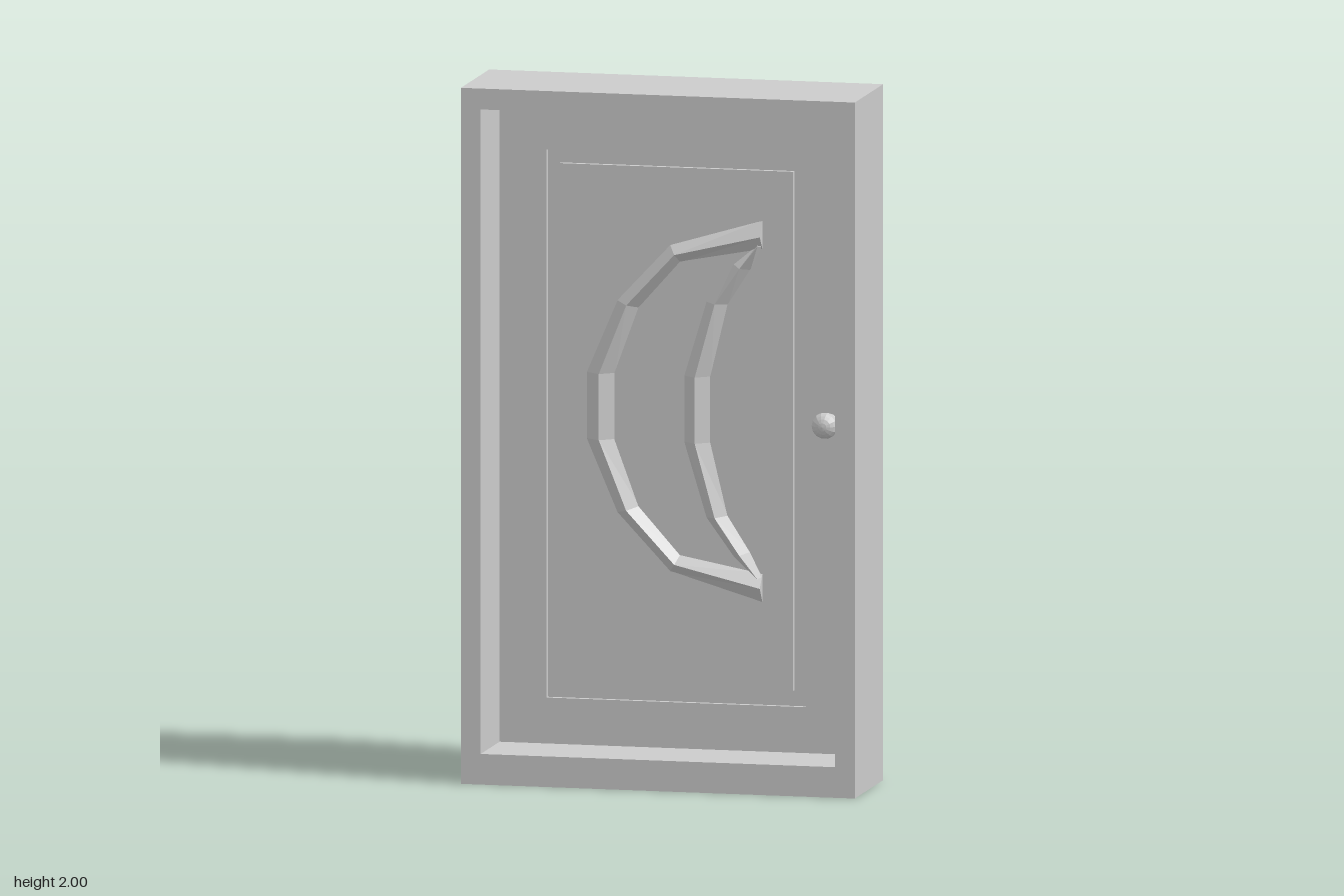
import * as THREE from 'three';

const mat = new THREE.MeshStandardMaterial({ color: 0xcccccc, flatShading: true, side: THREE.DoubleSide });

function add(parent, name, geometry, x = 0, y = 0, z = 0) {
  const mesh = new THREE.Mesh(geometry, mat);
  mesh.name = name;
  mesh.position.set(x, y, z);
  parent.add(mesh);
  return mesh;
}

const rect = (C, x0, x1, y0, y1) => new C([[x0, y0], [x1, y0], [x1, y1], [x0, y1]].map(p => new THREE.Vector2(...p)));

// Rectangular ring, extruded from z0 to z1; each rectangle is [x0, x1, y0, y1]
function ring(outer, inner, z0, z1) {
  const shape = rect(THREE.Shape, ...outer);
  shape.holes.push(rect(THREE.Path, ...inner));
  return new THREE.ExtrudeGeometry(shape, { depth: z1 - z0, bevelEnabled: false }).translate(0, 0, z0);
}

function slab([x0, x1, y0, y1], z0, z1) {
  return new THREE.BoxGeometry(x1 - x0, y1 - y0, z1 - z0)
    .translate((x0 + x1) / 2, (y0 + y1) / 2, (z0 + z1) / 2);
}

// Moulding with a peaked section, from rows [edgeA, ridge, edgeB] of the upper half, mirrored in y
function moulding(upper, base, height) {
  const lower = upper.map(row => row.map(([x, y]) => [x, -y])).reverse();
  const rows = [...upper, ...lower].map(row => row.map(([x, y], j) => [x, y, j === 1 ? height : base]));
  const pos = [];
  const tri = (a, b, c) => pos.push(...a, ...b, ...c);
  for (let i = 0; i < rows.length - 1; i++) {
    const p = rows[i], q = rows[i + 1];
    for (let j = 0; j < 2; j++) {
      tri(p[j], q[j], q[j + 1]);
      tri(p[j], q[j + 1], p[j + 1]);
    }
  }
  tri(...rows[0]);
  const end = rows[rows.length - 1];
  tri(end[2], end[1], end[0]);
  const g = new THREE.BufferGeometry();
  g.setAttribute('position', new THREE.Float32BufferAttribute(pos, 3));
  g.computeVertexNormals();
  return g;
}

export function createModel() {
  const model = new THREE.Group();
  model.name = 'door';
  const opening = [-0.517, 0.517, 0.088, 1.94];
  const zBack = -0.11, zFront = -0.045, groove = 0.015;
  const zMid = (zBack + zFront) / 2, half = (zFront - zBack) / 2;

  // Deep surrounding frame
  add(model, 'frame', ring([-0.575, 0.575, 0, 2], opening, -0.16, 0.185));

  // Door leaf: border, thinner core seen in the groove, and centre panel
  const leaf = new THREE.Group();
  leaf.name = 'doorLeaf';
  model.add(leaf);
  const panelHole = [-0.38, 0.377, 0.22, 1.795];
  add(leaf, 'leafBorder', ring(opening, panelHole, zBack, zFront));
  add(leaf, 'grooveFloor', slab(panelHole, zBack + groove, zFront - groove));
  add(leaf, 'centrePanel', slab([-0.343, 0.34, 0.265, 1.757], zBack, zFront));

  // Crescent moulding on both faces, heights measured from its middle
  const outerArc = [
    [[0.25, 0.55], [0.25, 0.505], [0.25, 0.465]],
    [[-0.02, 0.47], [0, 0.445], [0.01, 0.42]],
    [[-0.175, 0.305], [-0.14, 0.295], [-0.11, 0.285]],
    [[-0.265, 0.095], [-0.22, 0.095], [-0.18, 0.095]],
  ];
  const innerArc = [
    [[0.235, 0.478], [0.243, 0.478], [0.25, 0.475]],
    [[0.165, 0.42], [0.19, 0.412], [0.215, 0.405]],
    [[0.085, 0.31], [0.118, 0.307], [0.15, 0.303]],
    [[0.02, 0.095], [0.06, 0.095], [0.1, 0.095]],
  ];
  const arcs = { outerCrescent: moulding(outerArc, half - 0.002, half + 0.032),
    innerCrescent: moulding(innerArc, half - 0.002, half + 0.032) };

  // Knob: rose, neck and slightly flattened ball
  const rose = new THREE.CylinderGeometry(0.026, 0.03, 0.01, 12).rotateX(Math.PI / 2);
  const neck = new THREE.CylinderGeometry(0.015, 0.018, 0.03, 10).rotateX(Math.PI / 2);
  const ball = new THREE.SphereGeometry(0.038, 14, 10).rotateX(Math.PI / 2).scale(1, 1, 0.86);

  for (const [side, turn] of [['front', 0], ['back', Math.PI]]) {
    const crescent = new THREE.Group();
    crescent.name = side + 'Crescent';
    crescent.position.set(0, 1.065, zMid);
    crescent.rotation.x = turn;
    for (const name in arcs) add(crescent, name, arcs[name]);

    const knob = new THREE.Group();
    knob.name = side + 'Knob';
    knob.position.set(0.443, 1.038, zMid);
    knob.rotation.x = turn;
    add(knob, 'rose', rose, 0, 0, half + 0.004);
    add(knob, 'neck', neck, 0, 0, half + 0.014);
    add(knob, 'ball', ball, 0, 0, half + 0.045);
    leaf.add(crescent, knob);
  }

  // Hinges in the back corner
  for (const y of [0.45, 1.66]) {
    add(model, 'hinge', new THREE.CylinderGeometry(0.013, 0.013, 0.18, 10), -0.506, y, zBack - 0.006);
  }
  return model;
}
